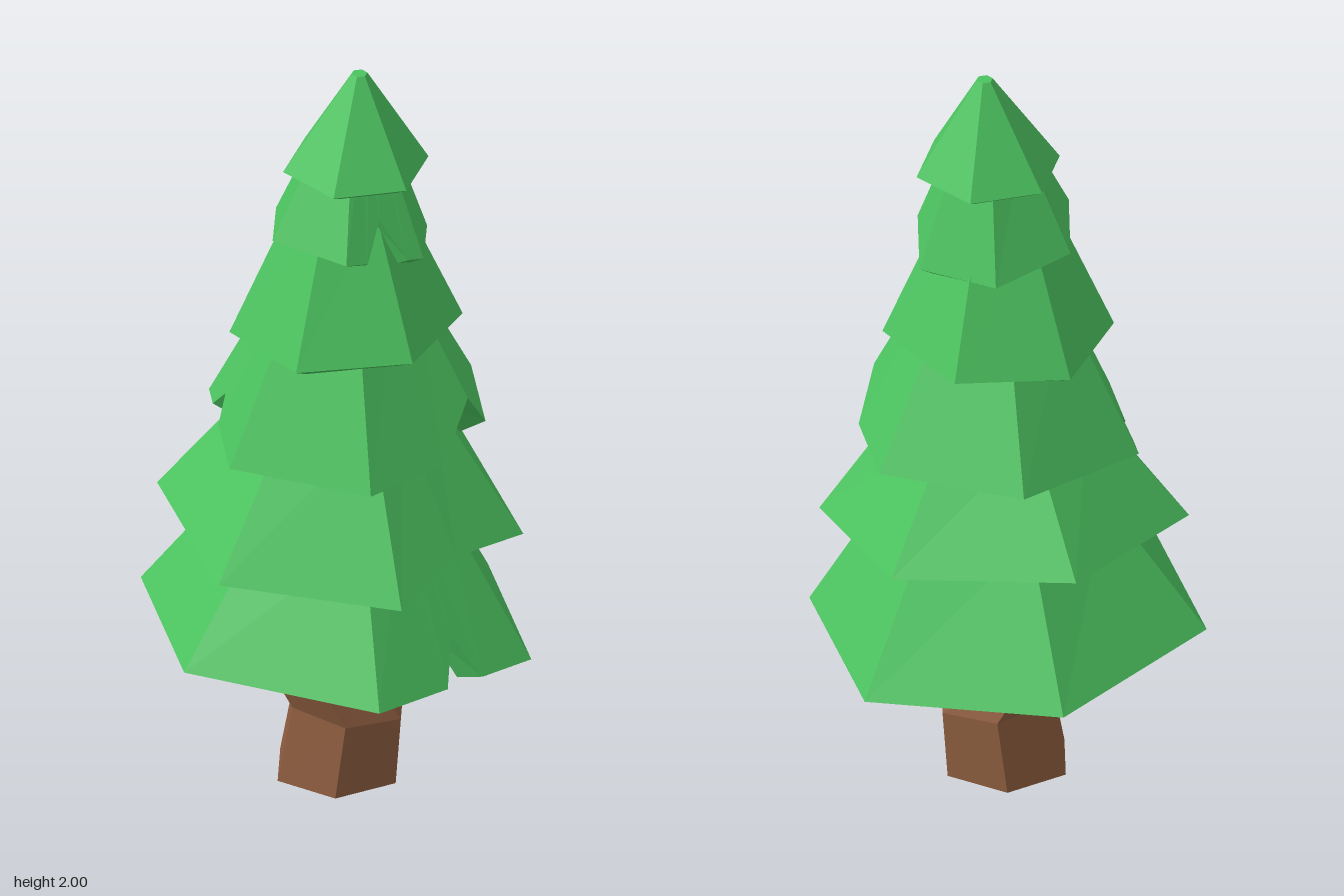
import * as THREE from 'three';

const green = new THREE.MeshStandardMaterial({ color: 0x4cc460, flatShading: true });
const brown = new THREE.MeshStandardMaterial({ color: 0x8f5e40, flatShading: true });
const V = (x, y, z) => new THREE.Vector3(x, y, z);

// Skin a stack of equal-length rings and close both ends with fans.
function loft(rings) {
  const pos = [];
  const n = rings[0].length;
  const tri = (...pts) => pts.forEach((p) => pos.push(p.x, p.y, p.z));
  const middle = (ring) => ring.reduce((s, p) => s.add(p), V(0, 0, 0)).divideScalar(n);
  const first = rings[0];
  const last = rings[rings.length - 1];
  const bottom = middle(first);
  const top = middle(last);
  for (let j = 0; j < n; j++) {
    const k = (j + 1) % n;
    tri(bottom, first[j], first[k]);
    for (let i = 0; i + 1 < rings.length; i++) {
      tri(rings[i][j], rings[i + 1][j], rings[i][k]);
      tri(rings[i][k], rings[i + 1][j], rings[i + 1][k]);
    }
    tri(top, last[k], last[j]);
  }
  const geo = new THREE.BufferGeometry();
  geo.setAttribute('position', new THREE.Float32BufferAttribute(pos, 3));
  geo.computeVertexNormals();
  return geo;
}

// Six corners around (cx, cz), on a plane that leans along x and z.
function hexagon(cx, y, cz, r, degrees, leanX = 0, leanZ = 0) {
  return Array.from({ length: 6 }, (_, i) => {
    const a = THREE.MathUtils.degToRad(degrees + i * 60);
    const x = Math.cos(a) * r;
    const z = Math.sin(a) * r;
    return V(cx + x, y + x * leanX + z * leanZ, cz + z);
  });
}

// A hollow skirt. Notches map a place along the rim (whole numbers are
// corners) to how far up the slope the rim is cut there.
function tierGeometry({ base, top, notches }) {
  const [cx, topY, cz, s] = top;
  const corners = hexagon(...base);
  const h = topY - base[1];
  const scaled = (p, k, y) => V(cx + (p.x - cx) * k, y, cz + (p.z - cz) * k);
  const cuts = new Map([0, 1, 2, 3, 4, 5].map((i) => [i, 0]).concat(notches));
  const rim = [];
  const crown = [];
  [...cuts].sort((a, b) => a[0] - b[0]).forEach(([place, lift]) => {
    const i = Math.floor(place);
    const p = corners[i].clone().lerp(corners[(i + 1) % 6], place - i);
    const q = scaled(p, s, topY);
    rim.push(p.lerp(q, lift));
    crown.push(q);
  });
  const inset = (k, rise) => rim.map((p) => scaled(p, k, p.y + rise * h));
  // ceiling of the hollow, inner lip, outer rim, crown
  return loft([inset(0.74, 0.2), inset(0.81, -0.08), rim, crown]);
}

// base: [cx, y, cz, radius, turn, leanX, leanZ]; top: [cx, y, cz, scale]
const tiers = [
  { base: [0, 0.425, 0, 0.517, 15.5, -0.07, 0.03], top: [0.03, 0.8, 0, 0.52],
    notches: [[0.32, 0], [0.42, 0.28], [0.55, 0]] },
  { base: [0.01, 0.735, -0.015, 0.47, 8.5, -0.04, -0.1], top: [0.03, 1.08, -0.02, 0.47],
    notches: [[0.5, 0.1]] },
  { base: [0.035, 0.99, -0.03, 0.385, 20, 0.02, -0.05], top: [0.03, 1.38, 0, 0.48],
    notches: [[5.7, 0], [0, 0.32], [0.4, 0], [2.55, 0], [2.7, 0.15], [2.82, 0]] },
  { base: [0.025, 1.275, -0.008, 0.295, -7, 0.05, 0.03], top: [0.03, 1.65, 0, 0.44],
    notches: [] },
  { base: [0.035, 1.54, 0.004, 0.22, 30, -0.11, 0.12], top: [0.05, 1.84, 0, 0.42],
    notches: [[0.2, 0], [0.5, 0.35], [0.72, 0]] },
  { base: [0.05, 1.74, 0.005, 0.188, -15, 0, 0], top: [0.06, 2, 0, 0.11],
    notches: [] },
];

// Bent trunk, same layout as a tier base
const trunkRings = [
  [0.005, 0, 0, 0.172, 30],
  [0.03, 0.195, 0, 0.158, 30, -0.1],
  [-0.05, 0.33, 0, 0.158, 30, -0.2],
  [0, 0.6, 0, 0.14, 30, -0.1],
];

export function createModel() {
  const tree = new THREE.Group();
  tree.name = 'pineTree';

  const trunk = new THREE.Mesh(loft(trunkRings.map((ring) => hexagon(...ring))), brown);
  trunk.name = 'trunk';
  tree.add(trunk);

  tiers.forEach((spec, i) => {
    const tier = new THREE.Mesh(tierGeometry(spec), green);
    tier.name = `foliageTier${i + 1}`;
    tree.add(tier);
  });
  return tree;
}
